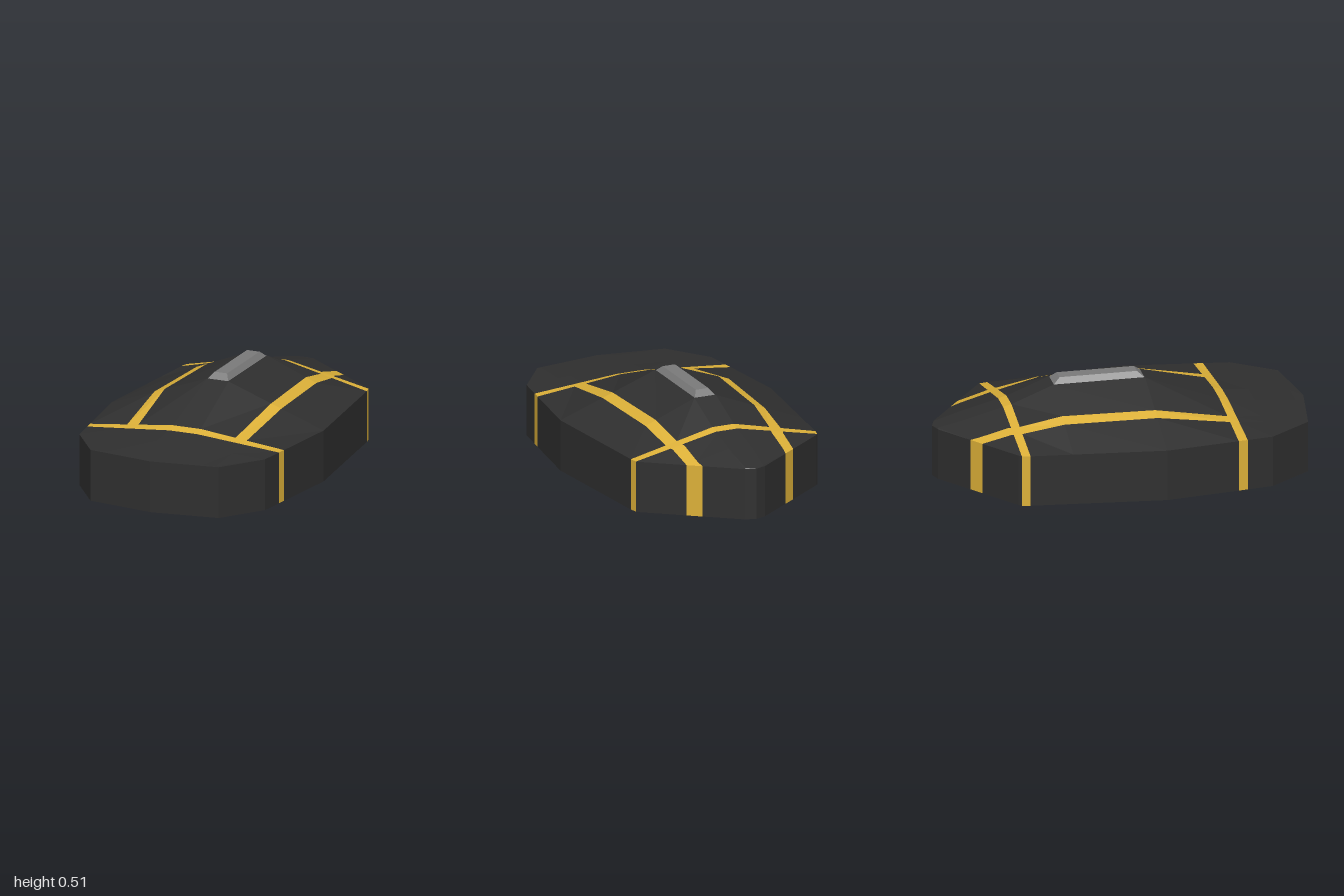
import * as THREE from 'three';

const RIM = 0.28;
// Cross-sections, front to back: z, half width, ridge half width, ridge height, strap inner x, strap outer x
const SECTIONS = [
  [1, 0, 0, 0.28, 0.28, 0.35],
  [0.945, 0.37, 0.08, 0.285, 0.28, 0.35],
  [0.72, 0.535, 0.08, 0.307, 0.28, 0.35],
  [0.58, 0.553, 0.08, 0.32, 0.28, 0.35],
  [0.53, 0.56, 0.08, 0.334, 0.28, 0.345],
  [0.135, 0.61, 0.062, 0.48, 0.307, 0.366],
  [-0.36, 0.558, 0.062, 0.48, 0.285, 0.345],
  [-0.585, 0.535, 0.062, 0.39, 0.268, 0.333],
  [-0.63, 0.525, 0.062, 0.378, 0.257, 0.325],
  [-0.645, 0.51, 0.062, 0.374, 0.252, 0.319],
  [-0.795, 0.309, 0.062, 0.334, 0.248, 0.314],
  [-0.845, 0.241, 0.062, 0.32, 0.244, 0.31],
  [-0.98, 0.06, 0.05, 0.285, 0.24, 0.31],
  [-1, 0, 0, 0.28, 0.24, 0.31],
];
const CROSS_ROWS = [3, 7]; // rows covered by the crosswise straps
const LONG_ROWS = [4, 10]; // first and last row of the lengthwise straps
const LONG_COLUMNS = [1, 5];

// Points of one section, on the roof or on the floor
function sectionPoints([z, w, ridge, top, s1, s2], roof) {
  return [-w, -s2, -s1, -ridge, ridge, s1, s2, w].map((v) => {
    const x = THREE.MathUtils.clamp(v, -w, w);
    const t = w > ridge ? Math.max(0, (Math.abs(x) - ridge) / (w - ridge)) : 0;
    return new THREE.Vector3(x, roof ? THREE.MathUtils.lerp(top, RIM, t) : 0, z);
  });
}

// Adds a quad, leaving out collapsed triangles
function addQuad(list, a, b, c, d) {
  for (const [p, q, r] of [[a, b, c], [a, c, d]]) {
    if (new THREE.Triangle(p, q, r).getArea() > 1e-7) list.push(p, q, r);
  }
}

function meshFrom(points, material, name) {
  const geometry = new THREE.BufferGeometry().setFromPoints(points);
  geometry.computeVertexNormals();
  const mesh = new THREE.Mesh(geometry, material);
  mesh.name = name;
  return mesh;
}

export function createModel() {
  const black = new THREE.MeshStandardMaterial({ color: 0x2f2f2f });
  black.name = 'charcoal';
  const gold = new THREE.MeshStandardMaterial({ color: 0xdcb038 });
  gold.name = 'gold';
  const grey = new THREE.MeshStandardMaterial({ color: 0x7a7a7a });
  grey.name = 'grey';

  const roof = SECTIONS.map((s) => sectionPoints(s, true));
  const floor = SECTIONS.map((s) => sectionPoints(s, false));
  const shell = [];
  const straps = [];
  const last = roof[0].length - 1;

  for (let i = 0; i < SECTIONS.length - 1; i++) {
    const cross = CROSS_ROWS.includes(i);
    const long = i >= LONG_ROWS[0] && i <= LONG_ROWS[1];

    // Roof and underside
    for (let j = 0; j < last; j++) {
      const list = cross || (long && LONG_COLUMNS.includes(j)) ? straps : shell;
      addQuad(list, roof[i][j], roof[i][j + 1], roof[i + 1][j + 1], roof[i + 1][j]);
      addQuad(list, floor[i][j], floor[i + 1][j], floor[i + 1][j + 1], floor[i][j + 1]);
    }

    // Side walls, with straps running down them
    const wall = cross || i === LONG_ROWS[1] ? straps : shell;
    addQuad(wall, floor[i][last], floor[i + 1][last], roof[i + 1][last], roof[i][last]);
    addQuad(wall, floor[i + 1][0], floor[i][0], roof[i][0], roof[i + 1][0]);
  }

  // Bevelled block on the ridge
  const blockGeometry = new THREE.BoxGeometry(0.125, 0.035, 0.5).toNonIndexed();
  const p = blockGeometry.attributes.position;
  for (let i = 0; i < p.count; i++) {
    if (p.getY(i) > 0) {
      p.setX(i, Math.sign(p.getX(i)) * 0.036);
      p.setZ(i, Math.sign(p.getZ(i)) * 0.208);
    }
  }
  blockGeometry.computeVertexNormals();
  const block = new THREE.Mesh(blockGeometry, grey);
  block.name = 'ridgeBlock';
  block.position.set(0, 0.4925, -0.112);

  const group = new THREE.Group();
  group.name = 'strappedCase';
  group.add(meshFrom(shell, black, 'shell'), meshFrom(straps, gold, 'straps'), block);
  return group;
}
